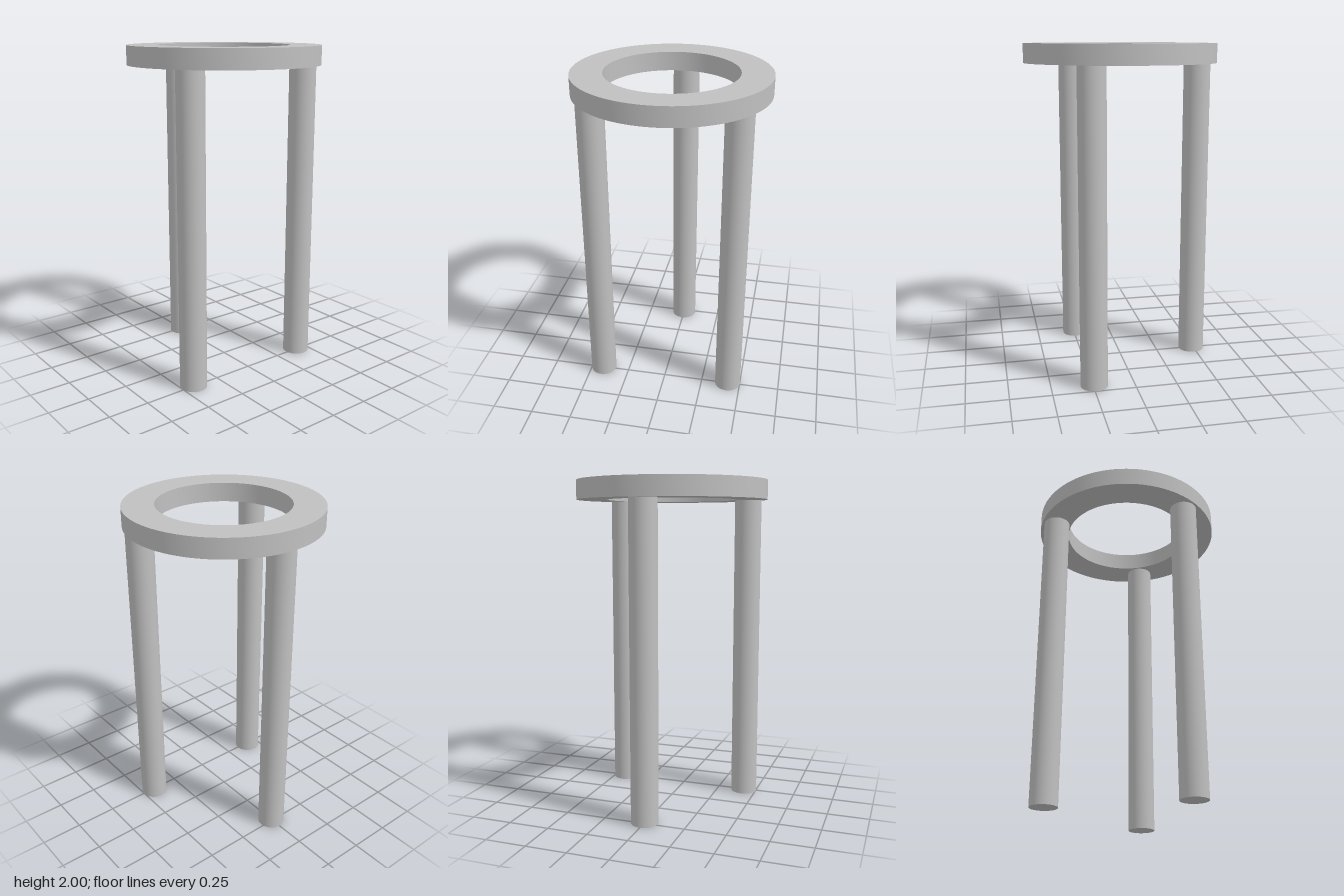
import * as THREE from 'three';
import { toCreasedNormals } from 'three/addons/utils/BufferGeometryUtils.js';

const SEAT_BOTTOM = 1.885;
const SEAT_TOP = 2;
const LEG_CIRCLE = 0.485;

export function createModel() {
  const model = new THREE.Group();
  model.name = 'stool';
  const grey = new THREE.MeshStandardMaterial({ name: 'grey', color: 0xc0c0c0 });

  // Ring seat: a disc with a round hole, extruded upwards
  const outline = new THREE.Shape().absarc(0, 0, 0.58, 0, Math.PI * 2, false);
  outline.holes.push(new THREE.Path().absarc(0, 0, 0.392, 0, Math.PI * 2, true));
  const ring = new THREE.ExtrudeGeometry(outline, {
    depth: SEAT_TOP - SEAT_BOTTOM, bevelEnabled: false, curveSegments: 48,
  });
  ring.rotateX(-Math.PI / 2);
  const seat = new THREE.Mesh(toCreasedNormals(ring, Math.PI / 6), grey);
  seat.name = 'seatRing';
  seat.position.y = SEAT_BOTTOM;
  model.add(seat);

  // Three straight round legs, evenly spaced, one on the right
  const legGeometry = new THREE.CylinderGeometry(0.082, 0.082, SEAT_BOTTOM, 48);
  ['rightLeg', 'frontLeftLeg', 'backLeftLeg'].forEach((name, i) => {
    const angle = Math.PI - i * Math.PI * 2 / 3;
    const leg = new THREE.Mesh(legGeometry, grey);
    leg.name = name;
    leg.position.set(Math.cos(angle) * LEG_CIRCLE, SEAT_BOTTOM / 2, Math.sin(angle) * LEG_CIRCLE);
    model.add(leg);
  });

  return model;
}
